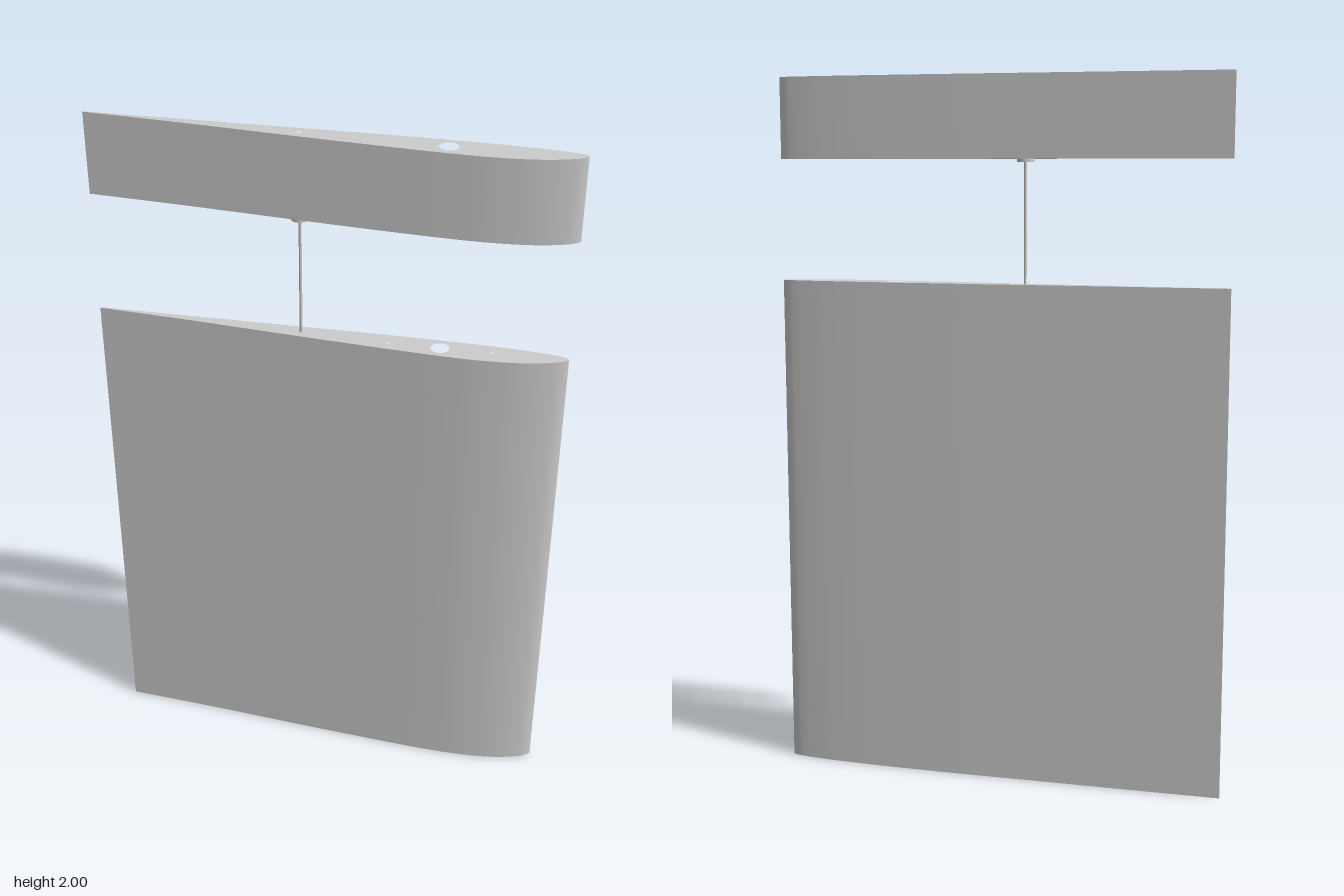
import * as THREE from 'three';
import { toCreasedNormals } from 'three/addons/utils/BufferGeometryUtils.js';

const ROD = { x: -0.075, z: -0.017 };
const SPAR_HOLE = [0.303, -0.003, 0.025];
const ROD_HOLE = [ROD.x, ROD.z, 0.006];
const PIN_HOLES = [[0.165, -0.003, 0.004], [0.441, -0.003, 0.004]];

// Aerofoil outline as [x, z], from the trailing edge round the nose and back
const OUTLINE = [
  [-0.645, -0.038], [-0.4, -0.040], [-0.1, -0.042], [0.15, -0.044], [0.35, -0.042],
  [0.48, -0.037], [0.57, -0.030], [0.625, -0.021], [0.643, -0.011], [0.63, 0.002],
  [0.59, 0.018], [0.52, 0.033], [0.42, 0.040], [0.32, 0.038], [0.2, 0.031],
  [0, 0.016], [-0.2, -0.001], [-0.4, -0.018], [-0.645, -0.035],
];

function aerofoil(y0, y1, holes) {
  const curve = new THREE.CatmullRomCurve3(
    OUTLINE.map(([x, z]) => new THREE.Vector3(x, -z, 0)), false, 'centripetal');
  const shape = new THREE.Shape(curve.getPoints(108).map(p => new THREE.Vector2(p.x, p.y)));
  for (const [x, z, r] of holes) {
    shape.holes.push(new THREE.Path().absarc(x, -z, r, 0, Math.PI * 2, true));
  }
  const g = new THREE.ExtrudeGeometry(shape, { depth: y1 - y0, bevelEnabled: false, curveSegments: 16 });
  g.rotateX(-Math.PI / 2).translate(0, y0, 0);
  return toCreasedNormals(g, 0.6);
}

export function createModel() {
  const model = new THREE.Group();
  const material = new THREE.MeshStandardMaterial({ color: 0xcccccc });
  const add = (name, geometry, parent = model) => {
    const mesh = new THREE.Mesh(geometry, material);
    mesh.name = name;
    parent.add(mesh);
  };

  // Lower wing panel: the top layer carries the blind pin and rod holes
  const lower = new THREE.Group();
  lower.name = 'lowerPanel';
  add('lowerPanelBody', aerofoil(0, 1.33, [SPAR_HOLE]), lower);
  add('lowerPanelSocketLayer', aerofoil(1.33, 1.43, [SPAR_HOLE, ROD_HOLE, ...PIN_HOLES]), lower);
  model.add(lower);

  // Upper panel, pierced by the spar and rod holes
  add('upperPanel', aerofoil(1.772, 2, [SPAR_HOLE, ROD_HOLE]));

  // Thin rod with a small flange under the upper panel
  const cylinder = (r, y0, y1, sides) => new THREE.CylinderGeometry(r, r, y1 - y0, sides)
    .translate(ROD.x, (y0 + y1) / 2, ROD.z);
  add('rod', cylinder(0.004, 1.33, 1.78, 16));
  add('rodFlange', cylinder(0.024, 1.763, 1.772, 24));

  return model;
}
